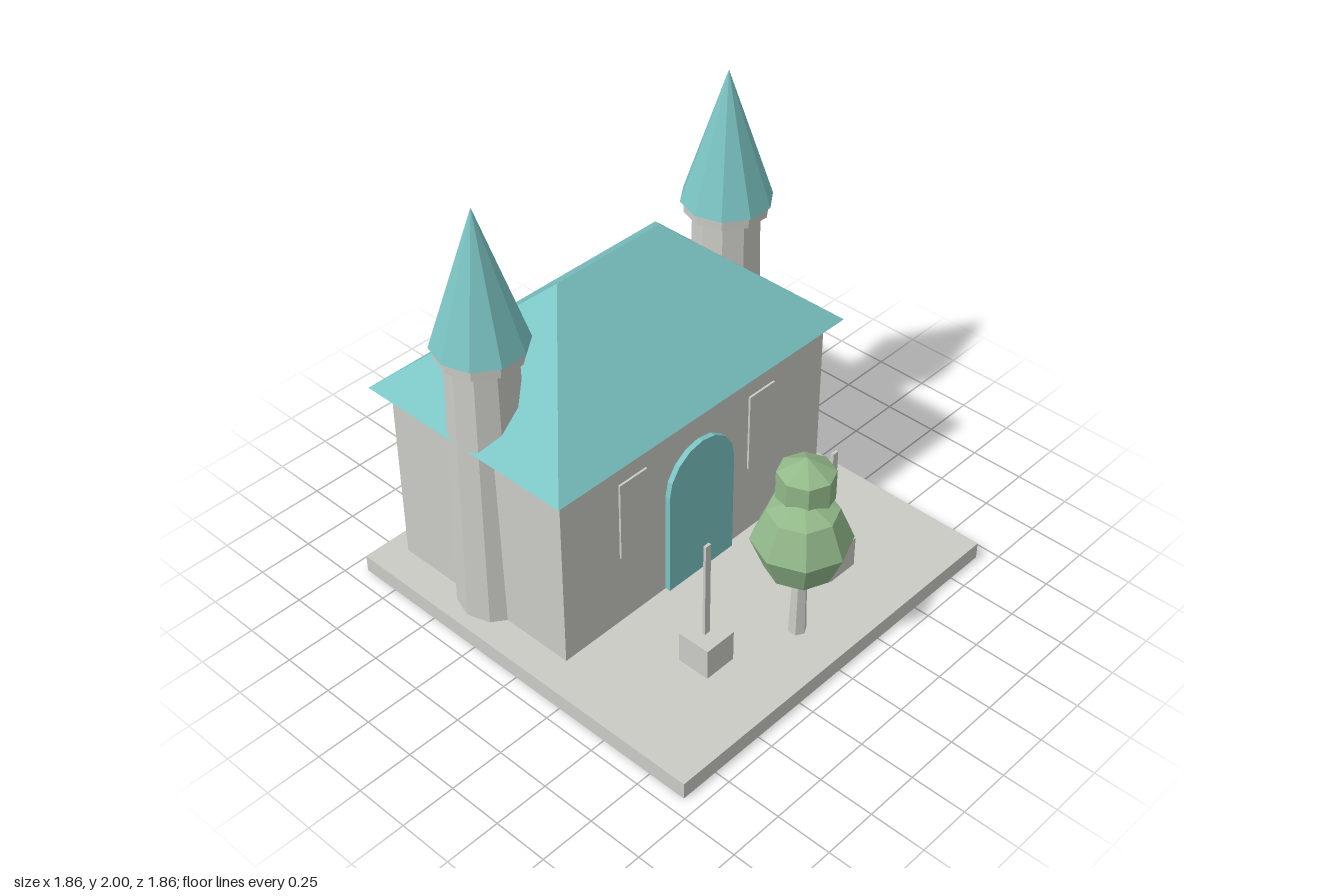
import * as THREE from 'three';

function material(name, color) {
  const m = new THREE.MeshStandardMaterial({ color, flatShading: true });
  m.name = name;
  return m;
}

export function createModel() {
  const stone = material('stone grey', 0xcbcbc6);
  const teal = material('roof teal', 0x7cc4c4);
  const leaf = material('leaf green', 0x92b98a);
  const model = new THREE.Group();
  model.name = 'manor';

  function add(name, geometry, mat, x = 0, y = 0, z = 0, parent = model) {
    const mesh = new THREE.Mesh(geometry, mat);
    mesh.name = name;
    mesh.position.set(x, y, z);
    parent.add(mesh);
    return mesh;
  }
  // Box standing on height y
  const box = (name, w, h, d, mat, x, y, z) =>
    add(name, new THREE.BoxGeometry(w, h, d), mat, x, y + h / 2, z);

  // Ground slab and main walls
  box('baseSlab', 1.86, 0.08, 1.86, stone, 0, 0, 0);
  box('walls', 1.56, 0.88, 0.97, stone, 0, 0.08, -0.345);

  // Hipped roof: four eave corners and two ridge ends
  const roof = new THREE.BufferGeometry();
  roof.setAttribute('position', new THREE.Float32BufferAttribute([
    -0.84, 0.96, 0.2, 0.84, 0.96, 0.2, 0.84, 0.96, -0.9, -0.84, 0.96, -0.9,
    -0.29, 1.455, -0.35, 0.29, 1.455, -0.35,
  ], 3));
  roof.setIndex([
    0, 1, 5, 0, 5, 4, // front slope
    1, 2, 5, // left hip
    2, 3, 4, 2, 4, 5, // back slope
    3, 0, 4, // right hip
    0, 3, 2, 0, 2, 1, // underside
  ]);
  const flatRoof = roof.toNonIndexed();
  flatRoof.computeVertexNormals();
  add('roof', flatRoof, teal);

  // Arched door
  const arch = new THREE.Shape();
  arch.moveTo(-0.195, 0.08);
  arch.lineTo(0.195, 0.08);
  for (let i = 0; i <= 8; i++) {
    const a = (i / 8) * Math.PI;
    arch.lineTo(0.195 * Math.cos(a), 0.585 + 0.195 * Math.sin(a));
  }
  arch.closePath();
  add('door', new THREE.ExtrudeGeometry(arch, { depth: 0.035, bevelEnabled: false }), teal, 0, 0, 0.13);

  for (const s of [-1, 1]) {
    // Ten-sided tower with collar and spire
    const tower = new THREE.Group();
    tower.name = s > 0 ? 'leftTower' : 'rightTower';
    tower.position.set(s * 0.7, 0, -0.35);
    tower.rotation.y = s > 0 ? Math.PI / 10 : -Math.PI / 10;
    model.add(tower);
    add('towerShaft', new THREE.CylinderGeometry(0.147, 0.173, 1.27, 10), stone, 0, 0.715, 0, tower);
    add('towerCollar', new THREE.CylinderGeometry(0.185, 0.185, 0.05, 10), stone, 0, 1.37, 0, tower);
    add('towerSpire', new THREE.ConeGeometry(0.2, 0.605, 10), teal, 0, 1.6975, 0, tower);

    // Window panel, pedestal and post
    box('windowPanel', 0.155, 0.385, 0.02, stone, s * 0.385, 0.43, 0.14);
    box('pedestal', 0.155, 0.15, 0.155, stone, s * 0.385, 0.08, 0.545);
    box('post', 0.03, 0.47, 0.013, stone, s * 0.385, 0.23, 0.543);
  }

  // Tree
  add('treeTrunk', new THREE.CylinderGeometry(0.03, 0.04, 0.36, 6), stone, 0, 0.26, 0.7);
  add('lowerFoliage', new THREE.SphereGeometry(0.21, 8, 4), leaf, 0, 0.585, 0.7);
  add('upperFoliage', new THREE.SphereGeometry(0.14, 8, 3), leaf, 0.058, 0.8, 0.662);

  return model;
}
